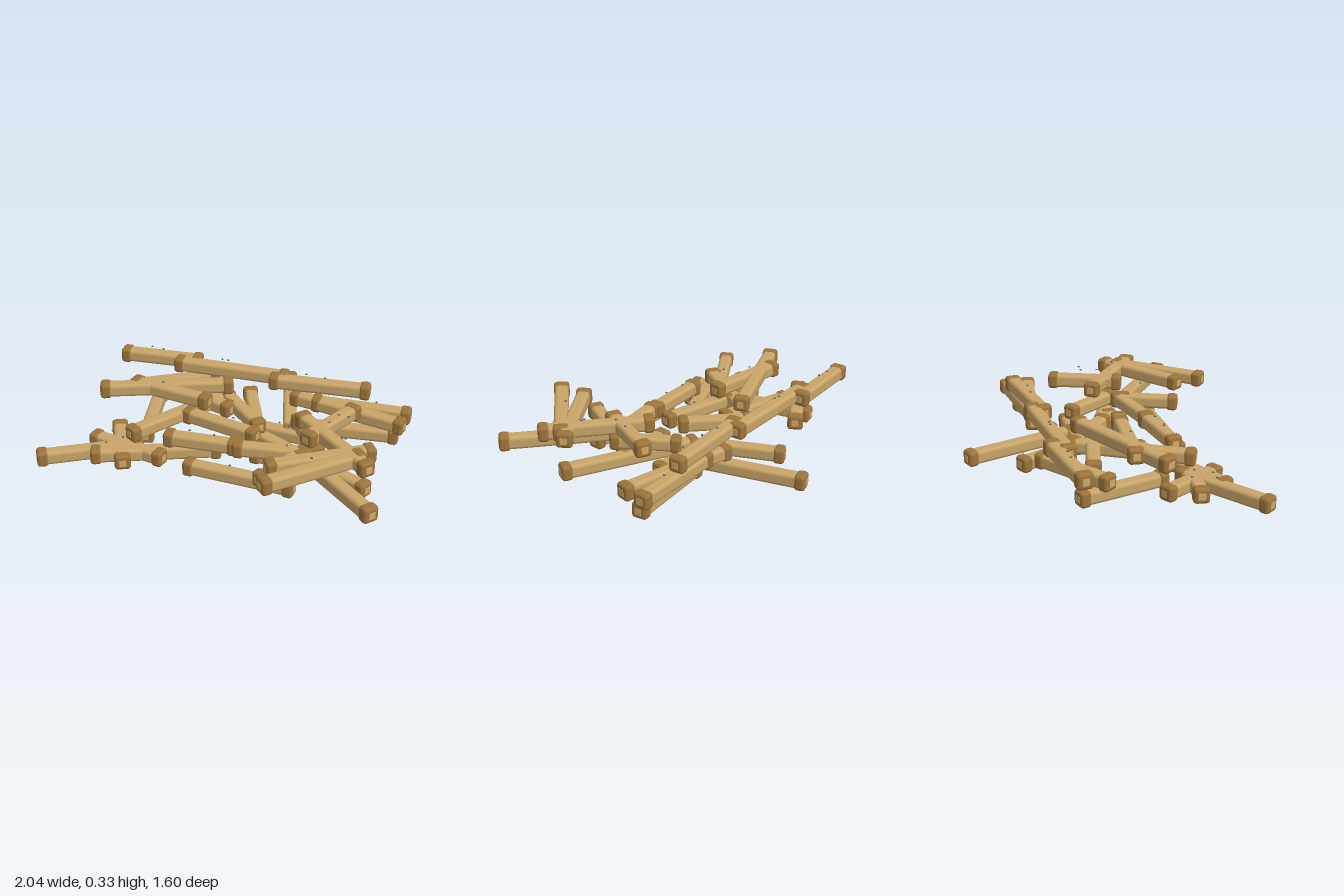
import * as THREE from 'three';
import { RoundedBoxGeometry } from 'three/addons/geometries/RoundedBoxGeometry.js';

// Height of the centre of each layer of logs
const LAYER_Y = [0.047, 0.158, 0.267];
const CAP = 0.065;

// Each log: start x, start z, end x, end z (outer ends seen from above)
const LOGS = [
  [ // bottom layer
    [-1.0, 0.72, -0.50, 0.35],
    [-0.73, 0.57, -0.06, 0.21],
    [-0.82, 0.39, -0.32, 0.435],
    [-0.74, 0.2, -0.51, 0.58],
    [-0.18, 0.45, 0.485, 0.425],
    [-0.02, -0.79, 0.25, -0.1],
    [-0.18, -0.5, 0.07, -0.05],
    [0.06, -0.02, 0.86, 0.28],
    [-0.02, -0.105, 0.475, -0.105],
    [0.28, -0.23, 0.85, -0.35],
    [-0.70, -0.27, -0.53, 0.27],
    [0.12, 0.18, 0.50, 0.175],
  ],
  [ // middle layer
    [1.0, 0.65, 0.44, 0.25],
    [-0.78, -0.1, -0.36, -0.42],
    [-0.54, 0.44, -0.2, -0.23],
    [-0.35, 0.09, 0.15, 0.16],
    [-0.34, 0.38, 0.10, 0.31],
    [0.07, 0.33, 0.50, 0.23],
    [-0.22, -0.21, 0.13, 0.07],
    [-0.6, -0.16, -0.11, -0.06],
    [0.29, -0.12, 0.54, 0.21],
    [0.33, 0.59, 0.48, 0.2],
    [0.9, -0.42, 0.3, -0.34],
    [0.9, -0.28, 0.16, -0.36],
  ],
  [ // top layer
    [-0.97, -0.28, -0.45, -0.37],
    [-0.60, -0.29, 0.13, -0.38],
    [0.03, -0.31, 0.64, -0.42],
    [-0.86, 0.20, -0.15, -0.17],
    [-0.72, 0.05, -0.19, 0.08],
    [0.63, -0.18, 0.48, 0.26],
    [0.38, 0.61, 0.87, 0.22],
    [0.42, 0.78, 0.83, 0.29],
    [0.36, 0.03, 0.90, 0.41],
  ],
];

// Small specks hovering over the logs of each layer: x, z
const SPECKS = [
  [[-0.73, 0.5], [-0.66, 0.5], [-0.69, 0.37], [-0.6, 0.41], [0.1, 0.44], [0.18, -0.11], [0.25, -0.09], [0.28, 0.18]],
  [[-0.06, 0.12], [-0.02, 0.12], [-0.19, 0.35], [-0.04, 0.34], [0.38, 0.28], [-0.07, -0.18], [0.69, -0.39], [0.56, 0.41]],
  [[-0.78, -0.32], [-0.7, -0.32], [-0.3, -0.34], [-0.26, -0.34], [0.25, -0.36], [0.37, -0.36], [-0.5, 0.07],
    [0.57, 0.12], [0.59, 0.02], [0.65, 0.02], [0.69, 0.25], [0.71, 0.25], [0.61, 0.51]],
];

export function createModel() {
  const model = new THREE.Group();
  model.name = 'logPile';

  const material = (name, color) => {
    const m = new THREE.MeshStandardMaterial({ color });
    m.name = name;
    return m;
  };
  const wood = material('tan wood', 0xc8a468);
  const endWood = material('brown log end', 0x9c743c);
  const cutWood = material('pale cut wood', 0xd2aa68);
  const speckGrey = material('slate speck', 0x56626e);

  const capGeometry = new RoundedBoxGeometry(0.094, 0.094, CAP, 2, 0.02);
  const cutGeometry = new THREE.BoxGeometry(0.04, 0.04, 0.004);
  const speckGeometry = new THREE.CylinderGeometry(0.007, 0.007, 0.004, 8);

  function add(parent, name, geometry, mat, x, y, z) {
    const mesh = new THREE.Mesh(geometry, mat);
    mesh.name = name;
    mesh.position.set(x, y, z);
    parent.add(mesh);
  }

  // One log lying along its local z, with a cap and a cut face at both ends
  function addLog([x1, z1, x2, z2], y) {
    const length = Math.hypot(x2 - x1, z2 - z1);
    const log = new THREE.Group();
    log.name = 'log';
    const body = new RoundedBoxGeometry(0.082, 0.082, length - 0.03, 2, 0.022);
    add(log, 'logBody', body, wood, 0, 0, 0);
    for (const side of [-1, 1]) {
      add(log, 'logEnd', capGeometry, endWood, 0, 0, side * (length - CAP) / 2);
      add(log, 'cutFace', cutGeometry, cutWood, 0, 0, side * length / 2);
    }
    log.position.set((x1 + x2) / 2, y, (z1 + z2) / 2);
    log.rotation.y = Math.atan2(x2 - x1, z2 - z1);
    model.add(log);
  }

  LAYER_Y.forEach((y, i) => {
    LOGS[i].forEach((log) => addLog(log, y));
    SPECKS[i].forEach(([x, z]) => add(model, 'speck', speckGeometry, speckGrey, x, y + 0.063, z));
  });

  return model;
}
